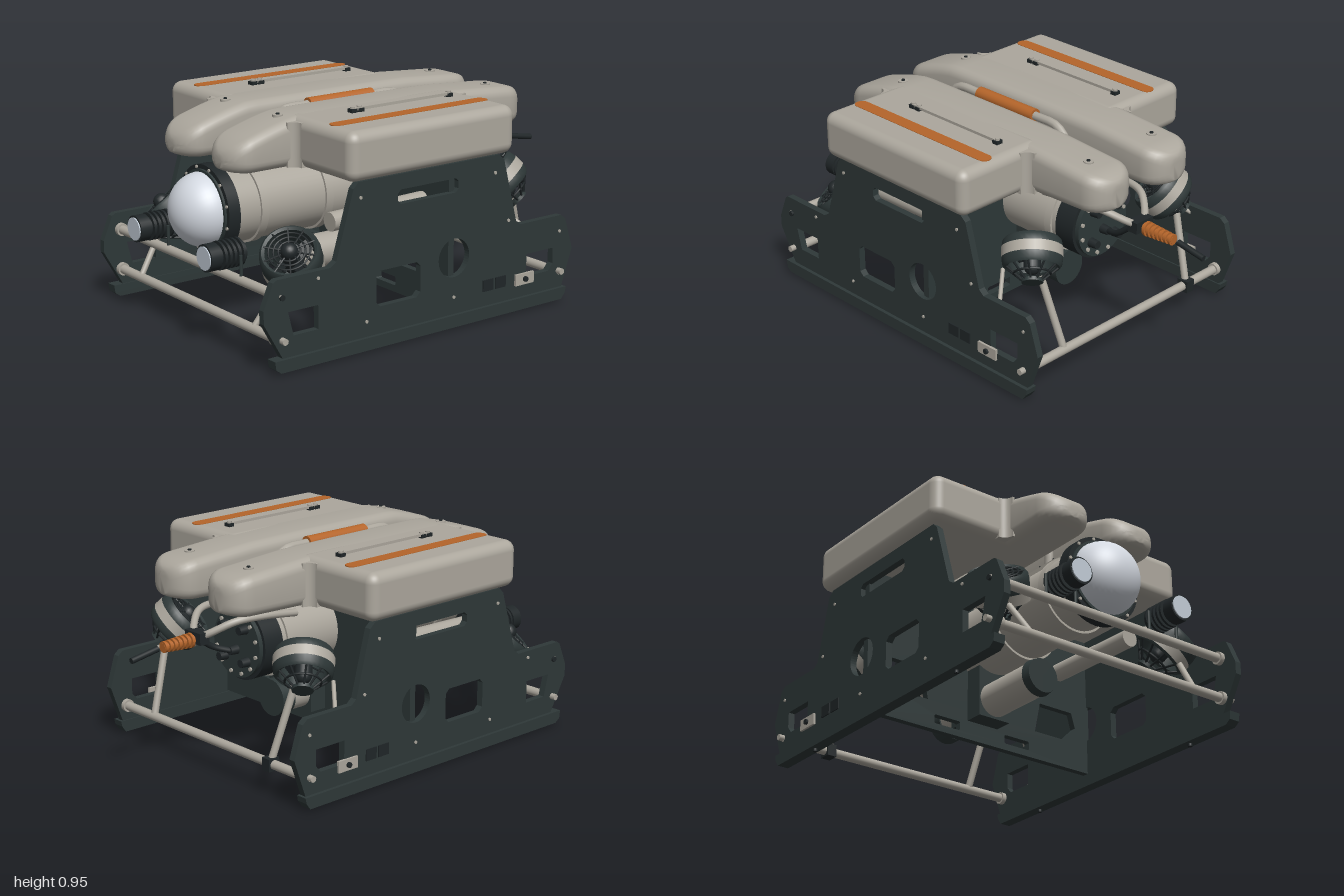
import * as THREE from 'three';
import { toCreasedNormals } from 'three/addons/utils/BufferGeometryUtils.js';
import { RoundedBoxGeometry } from 'three/addons/geometries/RoundedBoxGeometry.js';

const paint = (name, color) => Object.assign(new THREE.MeshStandardMaterial({ color }), { name });
const V = (x, y, z) => new THREE.Vector3(x, y, z);
const UP = V(0, 1, 0);

export function createModel() {
  const root = new THREE.Group();
  root.name = 'underwaterVehicle';
  const dark = paint('darkSlate', 0x2e3838), black = paint('nearBlack', 0x202628);
  const grey = paint('warmGrey', 0xaca79d), orange = paint('safetyOrange', 0xb5652a);
  const glass = paint('domeWhite', 0xd3d8e0), lensMat = paint('lensBlue', 0xc2ccd6);

  const add = (name, geo, mat, pos, parent = root) => {
    const m = new THREE.Mesh(geo, mat);
    m.name = name;
    if (pos) m.position.copy(pos);
    parent.add(m);
    return m;
  };
  const box = (name, mat, w, h, d, x, y, z, parent) => add(name, new THREE.BoxGeometry(w, h, d), mat, V(x, y, z), parent);
  // cylinder between two points
  const rod = (name, mat, a, b, r, r2 = r, seg = 20, parent = root) => {
    const dir = b.clone().sub(a);
    const m = add(name, new THREE.CylinderGeometry(r2, r, dir.length(), seg), mat, a.clone().lerp(b, 0.5), parent);
    m.quaternion.setFromUnitVectors(UP, dir.normalize());
    return m;
  };
  const hose = (name, mat, pts, r) =>
    add(name, new THREE.TubeGeometry(new THREE.CatmullRomCurve3(pts), 32, r, 10), mat);
  const poly = (pts, Type = THREE.Path) => new Type(pts.map(p => new THREE.Vector2(...p)));
  // rectangular opening with chamfered corners
  const slot = (x0, x1, y0, y1, c = 0.015) => poly([[x0 + c, y0], [x1 - c, y0], [x1, y0 + c], [x1, y1 - c],
    [x1 - c, y1], [x0 + c, y1], [x0, y1 - c], [x0, y0 + c]]);
  const plate = (shape, t) => new THREE.ExtrudeGeometry(shape, { depth: t, bevelEnabled: false, curveSegments: 24 }).translate(0, 0, -t / 2);

  // side panels: outline drawn in (z, y)
  const side = poly([[0.87, 0.06], [0.96, 0.22], [0.96, 0.275], [0.915, 0.38], [0.90, 0.39], [0.64, 0.39], [0.61, 0.41],
    [0.525, 0.69], [0.50, 0.715], [-0.24, 0.715], [-0.27, 0.69], [-0.345, 0.41], [-0.37, 0.39], [-0.61, 0.39],
    [-0.635, 0.37], [-0.68, 0.23], [-0.62, 0.06]], THREE.Shape);
  side.holes.push(slot(-0.02, 0.30, 0.59, 0.65), slot(0.18, 0.41, 0.18, 0.33, 0.02),
    poly([[0.70, 0.15], [0.82, 0.15], [0.845, 0.25], [0.70, 0.25]]),
    poly([[-0.41, 0.15], [-0.41, 0.25], [-0.565, 0.25], [-0.565, 0.18], [-0.54, 0.15]]));
  const port = new THREE.Path();
  port.absarc(0, 0.31, 0.083, 0, Math.PI * 2, true);
  side.holes.push(port);
  const sideGeo = plate(side, 0.03).rotateY(-Math.PI / 2);
  const skid = poly([[0.92, 0.065], [0.915, 0.03], [0.89, 0.012], [-0.61, 0.012], [-0.63, 0.04], [-0.635, 0.065]], THREE.Shape);
  const skidGeo = plate(skid, 0.052).rotateY(-Math.PI / 2);
  const panelBolts = [[0.88, 0.32], [0.70, 0.36], [0.49, 0.65], [0.46, 0.13], [0, 0.14], [-0.22, 0.64], [-0.3, 0.42], [-0.6, 0.32], [-0.6, 0.13]];

  // cross bulkhead
  const wall = poly([[-0.6, 0.07], [0.6, 0.07], [0.6, 0.715], [-0.6, 0.715]], THREE.Shape);
  for (const s of [-1, 1]) {
    wall.holes.push(poly([[s * 0.29, 0.2], [s * 0.45, 0.2], [s * 0.52, 0.27], [s * 0.5, 0.34], [s * 0.32, 0.34]]));
    wall.holes.push(slot(Math.min(s * 0.12, s * 0.255), Math.max(s * 0.12, s * 0.255), 0.1, 0.14, 0.005));
  }
  add('bulkhead', plate(wall, 0.03), dark);

  // pontoon lofted from rounded rectangles along z
  function pontoonGeometry() {
    const hw = 0.12, r = 0.1, zb = -0.695, zf = 0.86, rings = [];
    for (let i = 0; i <= 7; i++) rings.push([zb + r - r * Math.cos(i * Math.PI / 14), 1 - Math.sin(i * Math.PI / 14)]);
    for (const z of [-0.5, -0.4, -0.3, 0, 0.3, 0.5, 0.55, 0.6, 0.65, 0.7]) rings.push([z, 0]);
    for (let i = 0; i <= 7; i++) rings.push([zf - r + r * Math.sin(i * Math.PI / 14), 1 - Math.cos(i * Math.PI / 14)]);
    const pos = [], idx = [], n = 24;
    for (const [z, e] of rings) {
      const w = hw - r * e;
      const f = Math.max(0, (z - 0.53) / 0.33), b = Math.max(0, (-0.25 - z) / 0.445);
      const top = 0.925 - 0.09 * f ** 1.3 - 0.03 * b - 0.045 * e, bot = 0.72 + 0.012 * b + 0.02 * e;
      const c = Math.min(0.045, w);
      for (let j = 0; j < n; j++) {
        const q = Math.floor(j / 6), a = (q + (j % 6) / 5) * Math.PI / 2;
        const cx = (q === 0 || q === 3 ? 1 : -1) * (w - c), cy = q < 2 ? top - c : bot + c;
        pos.push(cx + c * Math.cos(a), cy + c * Math.sin(a), z);
      }
    }
    const last = rings.length - 1;
    for (let i = 0; i < last; i++) for (let j = 0; j < n; j++) {
      const a = i * n + j, b = i * n + (j + 1) % n;
      idx.push(a, b, a + n, b, b + n, a + n);
    }
    for (let j = 1; j < n - 1; j++) idx.push(0, j + 1, j, last * n, last * n + j, last * n + j + 1);
    const g = new THREE.BufferGeometry();
    g.setAttribute('position', new THREE.Float32BufferAttribute(pos, 3));
    g.setIndex(idx);
    return toCreasedNormals(g, 0.9);
  }
  const pontoonGeo = pontoonGeometry();

  // ducted thruster, local axis along y: flat grille at +y, wire cage at -y
  const ductGeo = toCreasedNormals(new THREE.LatheGeometry([[0.1, -0.055], [0.112, -0.062], [0.122, -0.05], [0.126, -0.025],
    [0.126, 0.025], [0.122, 0.05], [0.112, 0.062], [0.1, 0.055], [0.1, -0.055]].map(p => new THREE.Vector2(...p)), 36), 0.6);
  function thruster(name, center, normal, bandY, cage) {
    const g = new THREE.Group();
    g.name = name;
    g.position.copy(center);
    g.quaternion.setFromUnitVectors(UP, normal.normalize());
    root.add(g);
    add('duct', ductGeo, dark, null, g);
    add('ductBand', new THREE.CylinderGeometry(0.128, 0.128, 0.045, 36, 1, true), grey, V(0, bandY, 0), g);
    add('motorPod', new THREE.CapsuleGeometry(0.036, 0.11, 6, 16), black, null, g);
    for (let i = 0; i < 4; i++) {
      const arm = new THREE.Group();
      arm.name = 'bladeArm';
      arm.rotation.y = i * Math.PI / 2;
      g.add(arm);
      box('blade', black, 0.07, 0.006, 0.05, 0.06, 0, 0, arm).rotation.x = 0.6;
    }
    for (const r of [0.045, 0.065, 0.085])
      add('grilleRing', new THREE.TorusGeometry(r, 0.004, 6, 28).rotateX(Math.PI / 2), black, V(0, 0.057, 0), g);
    add('cageRing', new THREE.TorusGeometry(0.075, 0.005, 6, 28).rotateX(Math.PI / 2), black, V(0, -0.055 - cage / 2, 0), g);
    for (let i = 0; i < 10; i++) {
      const a = i * Math.PI / 5, c = Math.cos(a), s = Math.sin(a);
      rod('grilleSpoke', black, V(c * 0.03, 0.057, s * 0.03), V(c * 0.108, 0.057, s * 0.108), 0.004, 0.004, 6, g);
      rod('cageWire', black, V(c * 0.11, -0.055, s * 0.11), V(c * 0.04, -0.055 - cage, s * 0.04), 0.005, 0.005, 6, g);
    }
    rod('cageHub', dark, V(0, -0.05 - cage, 0), V(0, -0.065 - cage, 0), 0.045, 0.045, 20, g);
  }

  // concave corner between float and pontoon, drawn in plan
  const fillet = new THREE.Shape();
  fillet.moveTo(-0.01, -0.06);
  fillet.lineTo(0.04, -0.06);
  fillet.lineTo(0.04, 0);
  fillet.absarc(0.04, 0.04, 0.04, -Math.PI / 2, -Math.PI, true);
  fillet.lineTo(-0.01, 0.04);
  const filletGeo = plate(fillet, 0.185).rotateX(-Math.PI / 2);

  for (const s of [-1, 1]) {
    const S = s > 0 ? 'left' : 'right';
    add(S + 'SidePanel', sideGeo, dark, V(s * 0.605, 0, 0));
    add(S + 'Skid', skidGeo, dark, V(s * 0.61, 0, 0));
    for (const z of [0.65, -0.35]) rod('skidBolt', black, V(s * 0.61, 0, z), V(s * 0.61, 0.02, z), 0.01, 0.01, 10);
    for (const [z, y] of panelBolts) rod('panelBolt', grey, V(s * 0.61, y, z), V(s * 0.625, y, z), 0.007, 0.007, 10);
    box('anodePlate', grey, 0.012, 0.05, 0.105, s * 0.624, 0.145, -0.395);
    rod('anodeBolt', black, V(s * 0.62, 0.145, -0.395), V(s * 0.64, 0.145, -0.395), 0.012, 0.012, 10);
    for (const z of [-0.19, -0.26]) box('panelPad', black, 0.012, 0.05, 0.058, s * 0.619, 0.155, z);

    // buoyancy floats with stripe, rail and bolts
    add(S + 'Pontoon', pontoonGeo, grey, V(s * 0.176, 0, 0));
    add(S + 'Float', new RoundedBoxGeometry(0.46, 0.205, 0.865, 5, 0.045), grey, V(s * 0.43, 0.8225, 0.134));
    for (const [z, front] of [[0.566, true], [-0.298, false]]) {
      const f = add('floatFillet', filletGeo, grey, V(s * 0.294, 0.8165, z));
      f.rotation.set(front ? Math.PI : 0, 0, s > 0 ? 0 : Math.PI);
    }
    const stripe = new THREE.Shape();
    stripe.absarc(0, 0.375, 0.031, 0, Math.PI, false);
    stripe.absarc(0, -0.375, 0.031, Math.PI, Math.PI * 2, false);
    add(S + 'Stripe', plate(stripe, 0.004).rotateX(-Math.PI / 2), orange, V(s * 0.49, 0.925, 0.13));
    box(S + 'Rail', grey, 0.022, 0.012, 0.5, s * 0.355, 0.938, 0.07);
    for (const z of [-0.185, 0.29, 0.325]) {
      box('railFoot', black, 0.032, 0.018, 0.028, s * 0.355, 0.931, z);
      rod('railBolt', grey, V(s * 0.355, 0.93, z), V(s * 0.355, 0.949, z), 0.011, 0.011, 10);
    }
    for (const [z, y] of [[-0.54, 0.907], [0.58, 0.92]]) {
      rod('floatWasher', grey, V(s * 0.19, y - 0.02, z), V(s * 0.19, y + 0.003, z), 0.022);
      rod('floatBolt', black, V(s * 0.19, y, z), V(s * 0.19, y + 0.008, z), 0.008, 0.008, 8);
    }

    // thrusters and their struts
    thruster(S + 'FrontThruster', V(s * 0.45, 0.4, 0.705), V(s * 0.45, 0.72, 0.5), -0.032, 0.07);
    thruster(S + 'RearThruster', V(s * 0.405, 0.53, -0.435), V(s * -0.5, 0.68, 0.5), 0, 0.06);
    rod('frontStrut', grey, V(s * 0.46, 0.34, 0.74), V(s * 0.425, 0.14, 0.875), 0.013);
    rod('rearStrut', grey, V(s * 0.42, 0.45, -0.5), V(s * 0.385, 0.135, -0.6), 0.016);
    rod('frontArm', grey, V(s * 0.43, 0.52, 0), V(s * 0.43, 0.51, 0.5), 0.04);
    rod('rearArm', grey, V(s * 0.48, 0.45, -0.34), V(s * 0.6, 0.35, -0.44), 0.009);

    // lamps on the upper bar
    const lamp = (name, mat, z0, z1, r) => rod(name, mat, V(s * 0.265, 0.41, z0), V(s * 0.265, 0.41, z1), r, r, 28);
    lamp('lampBody', black, 0.82, 0.985, 0.045);
    for (let i = 0; i < 5; i++) lamp('lampFin', black, 0.835 + i * 0.022, 0.845 + i * 0.022, 0.06);
    lamp('lampBezel', black, 0.945, 0.995, 0.057);
    lamp('lampLens', lensMat, 0.99, 1.0, 0.049);
    for (const x of [0.195, 0.345]) rod('lampPost', dark, V(s * x, 0.31, 0.875), V(s * x, 0.42, 0.875), 0.007, 0.007, 8);

    // bar ends
    for (const [y, z] of [[0.315, 0.875], [0.135, 0.875], [0.135, -0.6]])
      rod('barCollar', grey, V(s * 0.57, y, z), V(s * 0.59, y, z), 0.028);
    for (const z of [0.875, -0.6]) rod('barBolt', grey, V(s * 0.61, 0.14, z), V(s * 0.645, 0.14, z), 0.014, 0.014, 10);
    rod('upperBarBolt', black, V(s * 0.61, 0.315, 0.875), V(s * 0.63, 0.315, 0.875), 0.012, 0.012, 10);
    // hoses curving from the hull sides to the tether clamp
    hose('rearHose', grey, [V(s * 0.14, 0.65, -0.24), V(s * 0.145, 0.672, -0.42), V(s * 0.12, 0.668, -0.55), V(s * 0.06, 0.625, -0.63), V(s * 0.02, 0.6, -0.66)], 0.016);
  }
  box('rearClamp', black, 0.045, 0.055, 0.055, -0.385, 0.135, -0.6);
  for (const [n, y, z] of [['upperFrontBar', 0.315, 0.875], ['lowerFrontBar', 0.135, 0.875], ['rearBar', 0.135, -0.6]])
    rod(n, grey, V(-0.6, y, z), V(0.6, y, z), 0.02);

  // main pressure hull
  const tube = (name, mat, y, z0, z1, r, r2 = r) => rod(name, mat, V(0, y, z0), V(0, y, z1), r, r2, 48);
  const HY = 0.525;
  tube('pressureHull', grey, HY, -0.34, 0.77, 0.16);
  for (const z of [0.63, 0.3, -0.29]) tube('hullBand', grey, HY, z - 0.018, z + 0.018, 0.17);
  tube('frontFlange', black, HY, 0.765, 0.82, 0.187);
  tube('domeRing', dark, HY, 0.815, 0.83, 0.168);
  add('dome', new THREE.SphereGeometry(0.157, 40, 16, 0, Math.PI * 2, 0, Math.PI / 2).rotateX(Math.PI / 2).scale(1, 1, 0.9), glass, V(0, HY, 0.825));
  tube('rearCap', black, HY, -0.43, -0.33, 0.162);
  tube('rearCapFace', dark, HY, -0.45, -0.42, 0.148);
  for (let i = 0; i < 12; i++) {
    const a = (i + 0.5) * Math.PI / 6, x = Math.cos(a), y = Math.sin(a);
    rod('flangeBolt', grey, V(x * 0.177, HY + y * 0.177, 0.815), V(x * 0.177, HY + y * 0.177, 0.826), 0.007, 0.007, 8);
    rod('capBolt', grey, V(x * 0.13, HY + y * 0.13, -0.44), V(x * 0.13, HY + y * 0.13, -0.458), 0.009, 0.009, 8);
  }
  for (const [x, y] of [[0.06, 0.6], [-0.06, 0.6], [0, 0.5], [0.07, 0.46], [-0.07, 0.46]])
    rod('connector', black, V(x, y, -0.44), V(x, y, -0.49), 0.022, 0.018, 12);
  box('topPlate', grey, 0.1, 0.03, 0.9, 0, 0.695, 0.17);
  for (const z of [-0.22, 0.24, 0.47, 0.56]) for (const x of [-0.035, 0.035])
    rod('plateBolt', black, V(x, 0.7, z), V(x, 0.72, z), 0.009, 0.009, 8);

  // lower battery tube in its central cradle
  tube('batteryTube', grey, 0.24, -0.2, 0.4, 0.075);
  tube('batteryFrontCap', dark, 0.24, 0.39, 0.43, 0.082, 0.076);
  tube('batteryRearCap', dark, 0.24, -0.26, -0.19, 0.082);
  box('batteryCradle', dark, 0.16, 0.24, 0.2, 0, 0.275, 0);

  // carrying handle
  hose('handle', grey, [V(0, 0.7, 0.48), V(0, 0.83, 0.475), V(0, 0.885, 0.42), V(0, 0.892, 0.3), V(0, 0.892, 0.12),
    V(0, 0.892, -0.06), V(0, 0.885, -0.18), V(0, 0.83, -0.235), V(0, 0.7, -0.24)], 0.019);
  rod('handleGrip', orange, V(0, 0.892, -0.05), V(0, 0.892, 0.29), 0.03);

  // tether with ribbed strain relief
  box('tetherClamp', black, 0.1, 0.05, 0.05, 0, 0.6, -0.66);
  hose('clampHose', black, [V(0, 0.5, -0.48), V(0.03, 0.53, -0.56), V(0.035, 0.59, -0.64)], 0.013);
  rod('strainCore', orange, V(0, 0.592, -0.68), V(0, 0.59, -0.84), 0.022, 0.016);
  for (let i = 0; i < 7; i++)
    rod('strainRib', orange, V(0, 0.591, -0.695 - i * 0.022), V(0, 0.591, -0.707 - i * 0.022), 0.032 - i * 0.0013);
  rod('tetherCable', black, V(0, 0.59, -0.866), V(0, 0.567, -1.0), 0.013);
  return root;
}
